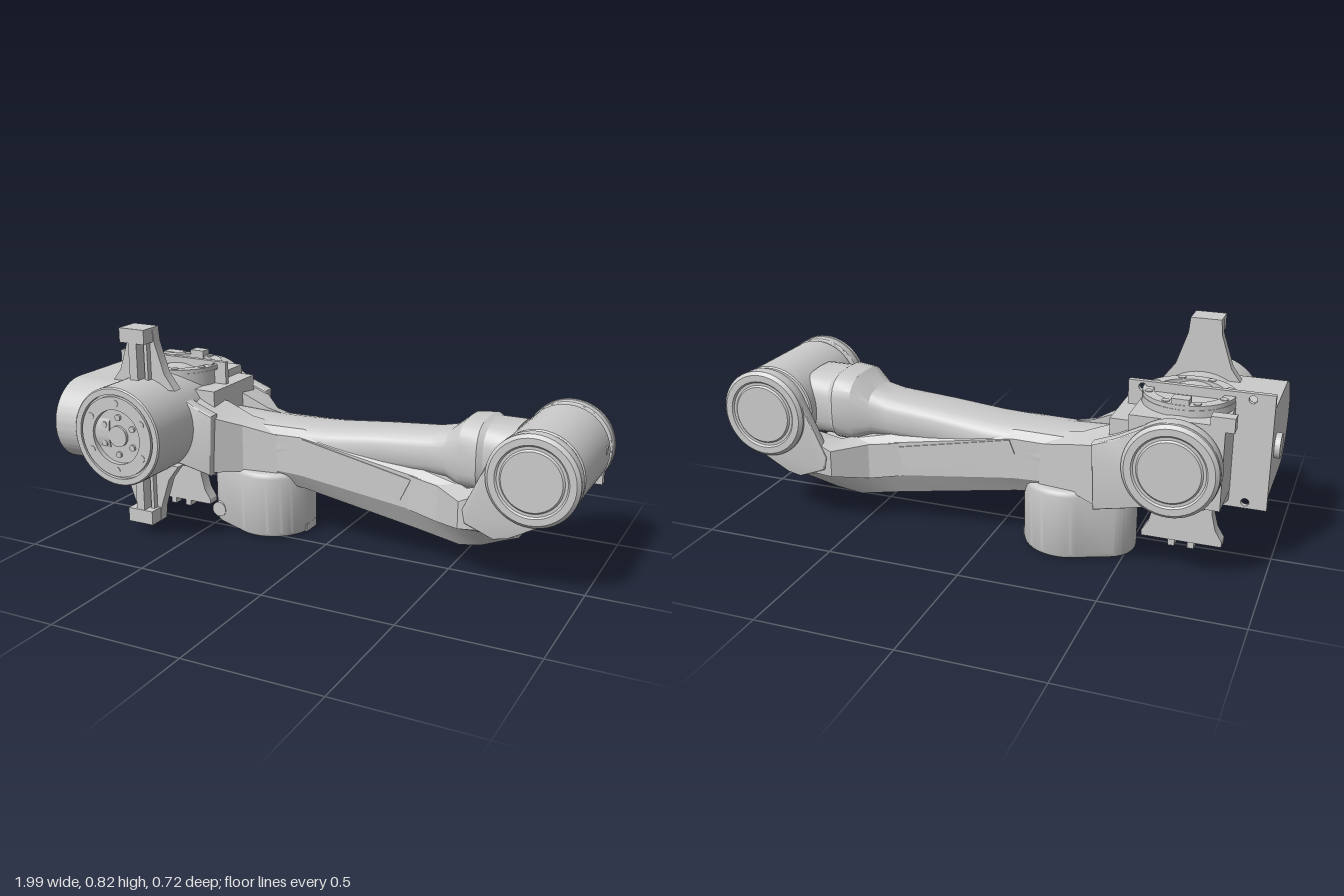
import * as THREE from 'three';
import { toCreasedNormals } from 'three/addons/utils/BufferGeometryUtils.js';

const MID = -0.105; // z of the arm's symmetry plane
const WX = -0.69, EX = 0.83, JY = 0.435; // wrist and elbow joint axes

export function createModel() {
  const root = new THREE.Group();
  const mat = new THREE.MeshStandardMaterial({ color: 0xcccccc });

  const add = (name, geo, x = 0, y = 0, z = 0, crease = 0.6) => {
    const m = new THREE.Mesh(toCreasedNormals(geo, crease), mat);
    m.name = name;
    m.position.set(x, y, z);
    root.add(m);
  };
  const box = (name, x0, x1, y0, y1, z0, z1) =>
    add(name, new THREE.BoxGeometry(x1 - x0, y1 - y0, z1 - z0), (x0 + x1) / 2, (y0 + y1) / 2, (z0 + z1) / 2);
  const cyl = (name, axis, r, h, x, y, z, seg = 40) => {
    const g = new THREE.CylinderGeometry(r, r, h, seg);
    if (axis === 'x') g.rotateZ(Math.PI / 2);
    if (axis === 'z') g.rotateX(Math.PI / 2);
    add(name, g, x, y, z);
  };
  // revolved profile [radius, height], pointing along +z (dir 1) or -z (dir -1)
  const latheZ = (name, pts, x, y, z, dir = 1) =>
    add(name, new THREE.LatheGeometry(pts.map(p => new THREE.Vector2(...p)), 48).rotateX(dir * Math.PI / 2), x, y, z, 0.5);
  const plate = (name, shape, z0, z1, bevel = 0) => {
    const g = new THREE.ExtrudeGeometry(shape, {
      depth: z1 - z0 - 2 * bevel, bevelEnabled: bevel > 0, bevelSize: bevel, bevelThickness: bevel,
      bevelOffset: -bevel, bevelSegments: 3, curveSegments: 32 });
    add(name, g, 0, 0, z0 + bevel, 0.5);
  };
  const poly = pts => new THREE.Shape(pts.map(p => new THREE.Vector2(...p)));

  // solid skinned over equal-count rings of [x, y, z]
  const loft = (name, rings, crease = 0.4) => {
    const n = rings[0].length, v = rings.flat(2), idx = [];
    for (let i = 0; i < rings.length - 1; i++) for (let j = 0; j < n; j++) {
      const a = i * n + j, b = i * n + (j + 1) % n;
      idx.push([a, b, a + n], [b, b + n, a + n]);
    }
    const e = (rings.length - 1) * n;
    for (let j = 1; j < n - 1; j++) idx.push([0, j + 1, j], [e, e + j, e + j + 1]);
    const P = i => new THREE.Vector3(v[3 * i], v[3 * i + 1], v[3 * i + 2]);
    const vol = idx.reduce((s, [a, b, c]) => s + P(a).dot(P(b).cross(P(c))), 0);
    const g = new THREE.BufferGeometry();
    g.setAttribute('position', new THREE.Float32BufferAttribute(v, 3));
    g.setIndex(idx.flatMap(t => (vol < 0 ? [t[0], t[2], t[1]] : t)));
    add(name, g, 0, 0, 0, crease);
  };

  // lower beam: x, bottom, top, bottom half width, side half width, side start height
  loft('lowerBeam', [
    [-0.46, 0.25, 0.42, 0.10, 0.13, 0.28], [-0.36, 0.235, 0.44, 0.09, 0.12, 0.28],
    [-0.1, 0.205, 0.445, 0.08, 0.12, 0.27], [0.36, 0.125, 0.365, 0.08, 0.12, 0.21],
    [0.53, 0.092, 0.335, 0.08, 0.15, 0.195], [0.62, 0.115, 0.28, 0.1, 0.195, 0.205],
    [0.70, 0.16, 0.245, 0.14, 0.22, 0.21], [0.78, 0.205, 0.235, 0.19, 0.22, 0.215],
  ].map(([x, b, t, hb, hs, ys]) => {
    const yt = Math.max(ys + 0.005, t - 0.025);
    const half = [[b, hb], [ys, hs], [yt, hs], [t, hs - 0.03]];
    return [...half.map(([y, h]) => [x, y, MID + h]), ...half.reverse().map(([y, h]) => [x, y, MID - h])];
  }));

  // upper tube: x, centre y, half height, half width
  loft('upperTube', [
    [-0.46, 0.37, 0.09, 0.11], [-0.25, 0.36, 0.09, 0.122], [0, 0.38, 0.08, 0.118], [0.2, 0.405, 0.075, 0.112],
    [0.4, 0.415, 0.082, 0.105], [0.47, 0.422, 0.09, 0.11], [0.53, 0.435, 0.128, 0.142], [0.6, 0.44, 0.13, 0.15],
    [0.62, 0.44, 0.12, 0.138], [0.72, 0.44, 0.12, 0.138],
  ].map(([x, cy, hy, hz]) => Array.from({ length: 24 }, (_, i) => {
    const a = i / 24 * 2 * Math.PI, sq = t => Math.sign(t) * Math.abs(t) ** 0.65;
    return [x, cy + hy * sq(Math.sin(a)), MID + hz * sq(Math.cos(a))];
  })), 0.5);

  // fork cheek: joint disc outline running into a pointed root
  const cheekShape = (cx, r, a0, a1, rootPts) => {
    const s = new THREE.Shape();
    s.absarc(cx, JY, r, a0, a1, false);
    rootPts.forEach(p => s.lineTo(...p));
    s.closePath();
    return s;
  };
  const elbowCheek = cheekShape(EX, 0.163, -1.28, 2.75, [[0.585, 0.29], [0.595, 0.24], [0.70, 0.2], [0.75, 0.21]]);
  const wristCheek = cheekShape(WX, 0.166, 0.9, 5.2, [[-0.43, 0.25], [-0.42, 0.49], [-0.5, 0.52]]);
  const cap = [[0, 0], [0.155, 0], [0.164, 0.01], [0.164, 0.022], [0.152, 0.034], [0.128, 0.034],
    [0.122, 0.028], [0.112, 0.028], [0.106, 0.034], [0, 0.034]];
  const flare = (name, s, rows) => loft(name, rows.map(([x, y0, y1, o0, o1]) =>
    [[y0, o0], [y0 + 0.02, o1], [y1 - 0.02, o1], [y1, o0]].map(([y, o]) => [x, y, MID + s * o])));

  for (const s of [1, -1]) {
    const span = (a, b) => [MID + s * a, MID + s * b].sort((p, q) => p - q);
    plate('elbowCheek', elbowCheek, ...span(0.195, 0.235), 0.008);
    flare('elbowFlare', s, [[0.34, 0.19, 0.36, 0.05, 0.12], [0.46, 0.17, 0.345, 0.06, 0.14],
      [0.57, 0.195, 0.335, 0.14, 0.228], [0.66, 0.205, 0.38, 0.19, 0.232]]);
    latheZ('elbowCap', cap, EX, JY, MID + s * 0.222, s);
    plate('wristCheek', wristCheek, ...span(0.185, 0.235), 0.008);
    flare('wristFlare', s, [[-0.2, 0.23, 0.435, 0.05, 0.12], [-0.34, 0.235, 0.46, 0.06, 0.14],
      [-0.45, 0.24, 0.505, 0.06, 0.228], [-0.54, 0.27, 0.54, 0.12, 0.232]]);
    latheZ('wristCap', cap, WX, JY, MID + s * 0.222, s);
    plate('sidePanel', poly([[-0.11, 0.365], [-0.09, 0.415], [0.35, 0.325], [0.31, 0.24], [-0.11, 0.325]]), ...span(0.11, 0.124));
  }

  // elbow barrel
  latheZ('elbowBarrel', [[0, -0.2], [0.12, -0.2], [0.12, -0.175], [0.155, -0.175], [0.16, -0.17], [0.16, 0.175],
    [0.155, 0.18], [0.14, 0.18], [0.14, 0.2], [0, 0.2]], EX, JY, MID);
  cyl('barrelPlug', 'x', 0.017, 0.01, 0.985, 0.455, -0.235, 16);
  box('barrelLatch', 0.93, 0.975, 0.32, 0.38, -0.285, -0.255);

  // motor pot under the arm: large drum plus narrower lobe
  const pot = new THREE.Shape();
  pot.absarc(-0.28, -MID, 0.165, -2.1, 2.1, false);
  pot.absarc(-0.42, -MID, 0.11, 2.1, Math.PI * 2 - 2.1, false);
  pot.closePath();
  const potGeo = new THREE.ExtrudeGeometry(pot, { depth: 0.22, bevelSize: 0.02, bevelThickness: 0.02,
    bevelOffset: -0.02, bevelSegments: 4, curveSegments: 32 }).rotateX(-Math.PI / 2);
  add('motorPot', potGeo, 0, 0.024, 0);
  cyl('potConnector', 'z', 0.03, 0.05, -0.475, 0.065, -0.02, 20);
  box('potNotch', -0.13, -0.115, 0.01, 0.04, MID - 0.04, MID + 0.04);
  for (let i = 0; i < 5; i++) {
    const a = (i - 2) * 0.85;
    cyl('potScrew', 'y', 0.012, 0.008, -0.28 + 0.125 * Math.cos(a), 0.005, MID + 0.125 * Math.sin(a), 12);
  }

  // wrist body held in the left fork
  cyl('wristBody', 'z', 0.16, 0.36, WX, JY, -0.115);
  cyl('wristDrum', 'y', 0.16, 0.36, WX, JY, -0.09);
  box('wristBlock', -0.85, -0.53, 0.29, 0.59, -0.285, -0.08);
  add('topRing', new THREE.LatheGeometry([[0.12, 0], [0.158, 0], [0.158, 0.022], [0.12, 0.022], [0.12, 0]]
    .map(p => new THREE.Vector2(...p)), 48), WX, 0.608, -0.09);
  box('topLug', -0.88, -0.8, 0.57, 0.62, -0.285, -0.24);
  box('sideTab', -0.55, -0.46, 0.32, 0.56, -0.26, 0.04);
  box('topKey', -0.72, -0.66, 0.61, 0.65, -0.245, -0.2);
  for (let i = 0; i < 8; i++) {
    const a = (i + 0.5) * Math.PI / 4;
    cyl('ringBolt', 'y', 0.014, 0.012, WX + 0.138 * Math.cos(a), 0.627, -0.09 + 0.138 * Math.sin(a), 12);
  }

  // mounting plate with corner holes
  const mount = poly([[-0.98, 0.23], [-0.48, 0.23], [-0.48, 0.648], [-0.98, 0.648]]);
  for (const x of [-0.905, -0.53]) for (const y of [0.252, 0.626]) {
    mount.holes.push(new THREE.Path().absarc(x, y, 0.014, 0, Math.PI * 2, true));
  }
  plate('mountPlate', mount, -0.1, -0.08);

  // tool drive: front drum with stepped face, and side housing with rounded nose
  latheZ('toolDrum', [[0, -0.09], [0.19, -0.09], [0.19, 0.355], [0.185, 0.36], [0.163, 0.36], [0.163, 0.345],
    [0.155, 0.345], [0.155, 0.36], [0.105, 0.36], [0.105, 0.34], [0.04, 0.34], [0.04, 0.352], [0, 0.352]], WX, JY, 0);
  const nose = new THREE.Shape();
  nose.moveTo(0.09, -0.16);
  nose.lineTo(0.09, 0.16);
  nose.lineTo(-0.19, 0.16);
  nose.absarc(-0.19, 0, 0.16, Math.PI / 2, Math.PI * 1.5, false);
  add('sideHousing', new THREE.ExtrudeGeometry(nose, { depth: 0.25, bevelEnabled: false, curveSegments: 32 })
    .rotateY(Math.PI / 2), -0.98, JY + 0.005, 0);
  cyl('sideKnob', 'x', 0.045, 0.03, -0.985, JY, 0.005, 24);
  for (let i = 0; i < 6; i++) {
    const a = i * Math.PI / 3 + 0.5;
    cyl('faceBolt', 'z', 0.014, 0.012, WX + 0.13 * Math.cos(a), JY + 0.13 * Math.sin(a), 0.356, 12);
    cyl('hubBolt', 'z', 0.012, 0.014, WX + 0.072 * Math.cos(a), JY + 0.072 * Math.sin(a), 0.342, 12);
  }

  // clamp fins above and below the drum
  for (const s of [1, -1]) {
    const pts = [[-0.145, 0.15], [-0.1, 0.21], [-0.06, 0.33], [-0.055, 0.385]];
    const shape = poly([...pts, ...pts.map(([x, y]) => [-x, y]).reverse()].map(([x, y]) => [WX + x, JY + s * y]));
    plate('clampFin', shape, 0.138, 0.178);
    const y = (a, b) => [JY + s * a, JY + s * b].sort((p, q) => p - q);
    box('clampHead', WX - 0.055, WX + 0.055, ...y(0.33, 0.385), 0.138, 0.235);
    box('clampRib', WX - 0.018, WX + 0.018, ...y(0.17, 0.34), 0.17, 0.232);
    for (const d of [-1, 1]) box('clampRail', WX + d * 0.035 - 0.007, WX + d * 0.035 + 0.007, ...y(0.17, 0.34), 0.17, 0.2);
  }

  // flared foot bracket with two pegs beneath the wrist
  const foot = [[0.1, 0.27], [0.105, 0.18], [0.12, 0.12], [0.145, 0.08], [0.145, 0.06]];
  plate('footBracket', poly([...foot, ...foot.map(([x, y]) => [-x, y]).reverse()].map(([x, y]) => [WX + x, y])), -0.09, -0.04);
  for (const d of [-1, 1]) box('footPeg', WX + d * 0.035 - 0.012, WX + d * 0.035 + 0.012, 0.035, 0.07, -0.085, -0.045);
  box('footBridge', WX - 0.1, WX + 0.1, 0.23, 0.29, -0.16, 0.02);
  return root;
}
